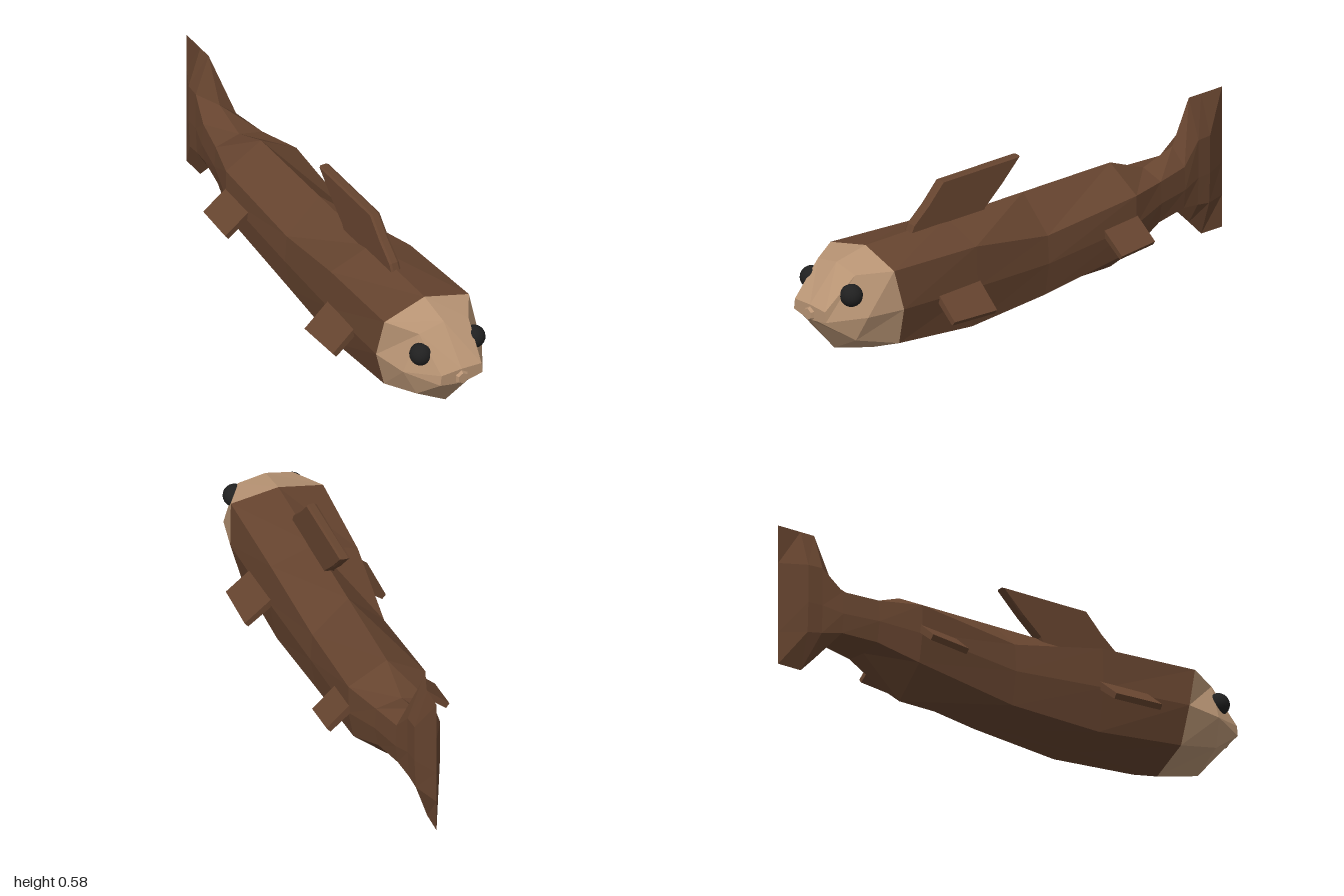
import * as THREE from 'three';

const mat = (name, color) => {
  const m = new THREE.MeshStandardMaterial({ color, flatShading: name !== 'eyeBlack' });
  m.name = name;
  return m;
};

// Skin over half cross-sections (top, shoulder, side, low, bottom), mirrored in x, front to back
function loft(sections, capFront) {
  const rings = sections.map((half) => [
    ...half, ...half.slice(1, -1).reverse().map(([x, y, z]) => [-x, y, z]),
  ]);
  const n = rings[0].length;
  const index = [];
  for (let i = 0; i < rings.length - 1; i++) {
    for (let j = 0; j < n; j++) {
      const a = i * n + j, b = i * n + (j + 1) % n;
      index.push(a, b, a + n, b, b + n, a + n);
    }
  }
  if (capFront) for (let j = 1; j < n - 1; j++) index.push(0, j + 1, j);
  const g = new THREE.BufferGeometry();
  g.setAttribute('position', new THREE.Float32BufferAttribute(rings.flat(2), 3));
  g.setIndex(index);
  const flat = g.toNonIndexed();
  flat.computeVertexNormals();
  return flat;
}

// Half section at one z: top y, three side points, bottom y
const section = (z, top, shoulder, side, low, bottom) => [
  [0, top, z], [...shoulder, z], [...side, z], [...low, z], [0, bottom, z],
];

export function createModel() {
  const model = new THREE.Group();
  const brown = mat('brownSkin', 0x66442f);
  const tan = mat('tanFace', 0xb89474);
  const black = mat('eyeBlack', 0x202020);

  const add = (name, geometry, material, parent = model) => {
    const mesh = new THREE.Mesh(geometry, material);
    mesh.name = name;
    parent.add(mesh);
    return mesh;
  };

  // Seam shared by the face and the body
  const neck = [[0, 0.42, 0.72], [0.18, 0.378, 0.735], [0.195, 0.22, 0.7], [0.155, 0.07, 0.69], [0, 0.003, 0.69]];

  // Face
  add('head', loft([
    section(0.988, 0.257, [0.085, 0.253], [0.09, 0.212], [0.045, 0.203], 0.197),
    [[0, 0.392, 0.86], [0.105, 0.372, 0.86], [0.168, 0.22, 0.85], [0.122, 0.12, 0.87], [0, 0.052, 0.87]],
    neck,
  ], true), tan);

  // Body running into the tail stem and tail fin
  add('bodyAndTail', loft([
    neck,
    section(0.33, 0.42, [0.17, 0.36], [0.177, 0.2], [0.145, 0.033], 0.003),
    section(-0.04, 0.42, [0.14, 0.29], [0.147, 0.18], [0.125, 0.05], 0.003),
    section(-0.46, 0.42, [0.15, 0.335], [0.15, 0.22], [0.13, 0.11], 0.003),
    section(-0.62, 0.355, [0.1, 0.33], [0.105, 0.245], [0.09, 0.165], 0.155),
    section(-0.76, 0.4, [0.07, 0.34], [0.075, 0.25], [0.065, 0.175], 0.165),
    section(-0.84, 0.572, [0.055, 0.42], [0.055, 0.27], [0.05, 0.16], 0.075),
    section(-0.9, 0.572, [0.05, 0.42], [0.05, 0.27], [0.045, 0.15], 0.012),
    section(-1, 0.572, [0, 0.42], [0, 0.27], [0, 0.14], 0.012),
  ]), brown);

  // Swept dorsal fin, outlined in (z, y)
  const outline = [[0.52, 0.4], [0.5, 0.44], [0.43, 0.5], [0.36, 0.575], [-0.005, 0.575], [0.08, 0.49], [0.16, 0.42], [0.17, 0.4]];
  const finShape = new THREE.Shape(outline.map(([z, y]) => new THREE.Vector2(-z, y)));
  const dorsal = new THREE.ExtrudeGeometry(finShape, {
    depth: 0.024, bevelEnabled: true, bevelSegments: 1, bevelThickness: 0.008, bevelSize: 0.005,
  });
  dorsal.translate(0, 0, -0.012);
  dorsal.rotateY(Math.PI / 2);
  add('dorsalFin', dorsal, brown);

  // Nose tip
  const nose = add('nose', new THREE.CylinderGeometry(0.022, 0.03, 0.016, 6), tan);
  nose.rotation.x = Math.PI / 2;
  nose.position.set(0, 0.222, 0.992);

  for (const s of [1, -1]) {
    const side = s > 0 ? 'left' : 'right';

    // Eyes
    const eye = add(side + 'Eye', new THREE.SphereGeometry(0.043, 20, 14), black);
    eye.position.set(s * 0.113, 0.302, 0.885);

    // Sloping paired fins, slightly thinner at the tip
    const sideFin = (name, x, y, z, length, width, pitch) => {
      const g = new THREE.BoxGeometry(length, 0.028, width);
      const p = g.attributes.position;
      for (let i = 0; i < p.count; i++) {
        if (p.getX(i) * s > 0) p.setY(i, p.getY(i) * 0.8);
      }
      const fin = add(side + name, g, brown);
      fin.position.set(x * s, y, z);
      fin.rotation.set(pitch, 0, -s * 0.68);
    };
    sideFin('PectoralFin', 0.21, 0.18, 0.42, 0.15, 0.205, -0.04);
    sideFin('PelvicFin', 0.178, 0.206, -0.39, 0.14, 0.16, 0.1);
  }
  return model;
}
